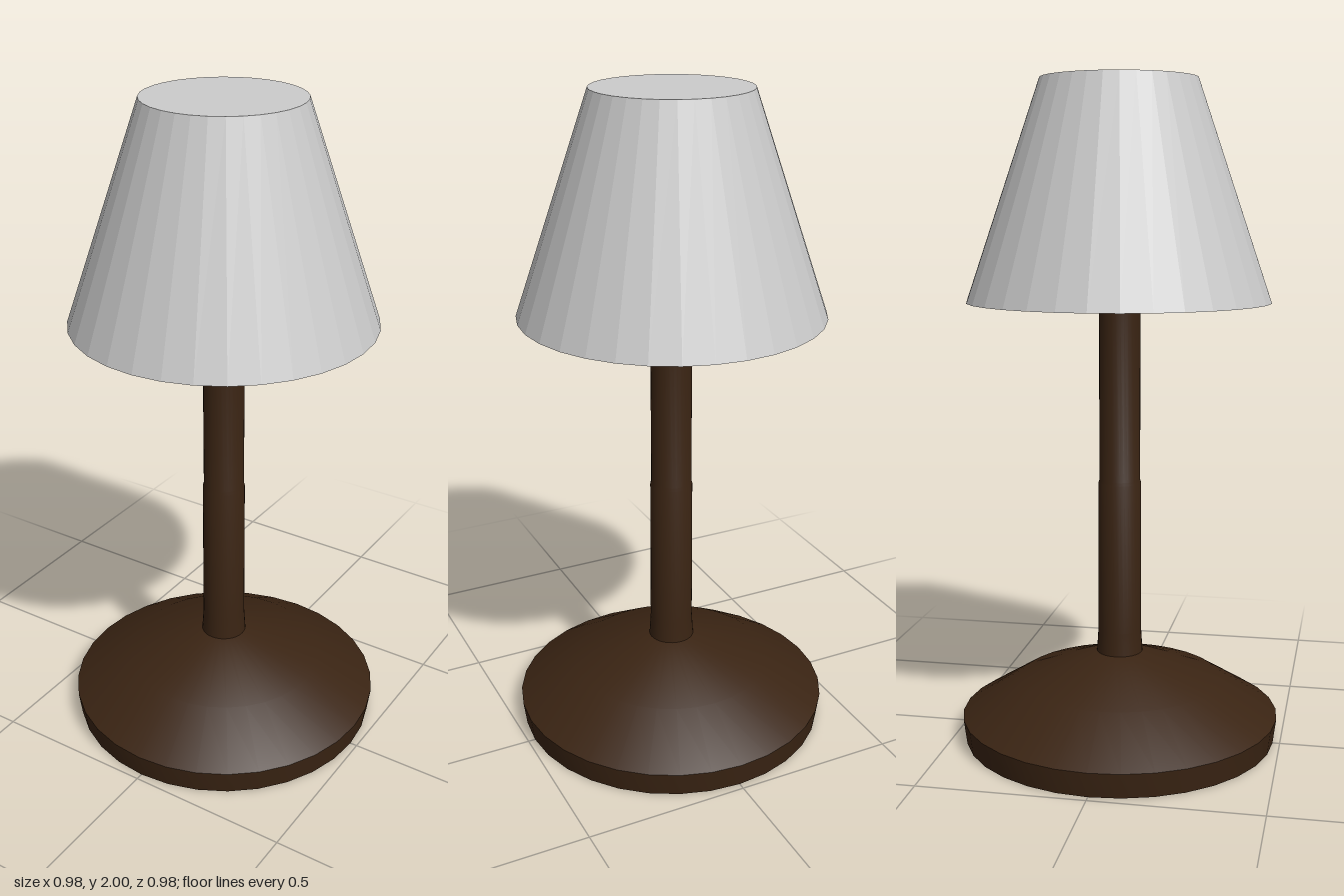
import * as THREE from 'three';
import { toCreasedNormals } from 'three/addons/utils/BufferGeometryUtils.js';

const SIDES = 32;

// Turned part from [radius, height] pairs, bottom to top, with sharp rims
function turned(name, profile, material) {
  const points = profile.map(([r, y]) => new THREE.Vector2(r, y));
  const geometry = toCreasedNormals(new THREE.LatheGeometry(points, SIDES), 0.5);
  const mesh = new THREE.Mesh(geometry, material);
  mesh.name = name;
  return mesh;
}

export function createModel() {
  const group = new THREE.Group();
  group.name = 'tableLamp';
  const wood = new THREE.MeshStandardMaterial({ color: 0x3a2413 });
  const fabric = new THREE.MeshStandardMaterial({ color: 0xcccccc, flatShading: true });

  // Wide foot with a sloping top
  group.add(turned('base', [[0, 0], [0.478, 0], [0.488, 0.075], [0.31, 0.185], [0.07, 0.27], [0, 0.27]], wood));

  // Slim stem, flared a little where it meets the foot
  const stem = turned('stem', [[0.071, 0.26], [0.066, 0.34], [0.065, 0.8], [0.062, 0.81], [0.062, 1.36], [0, 1.36]], wood);
  stem.position.x = -0.002;
  group.add(stem);

  // Closed, faceted shade
  const shade = new THREE.Mesh(new THREE.CylinderGeometry(0.233, 0.455, 0.65, SIDES), fabric);
  shade.name = 'shade';
  shade.position.set(-0.003, 1.675, -0.002);
  group.add(shade);

  return group;
}
